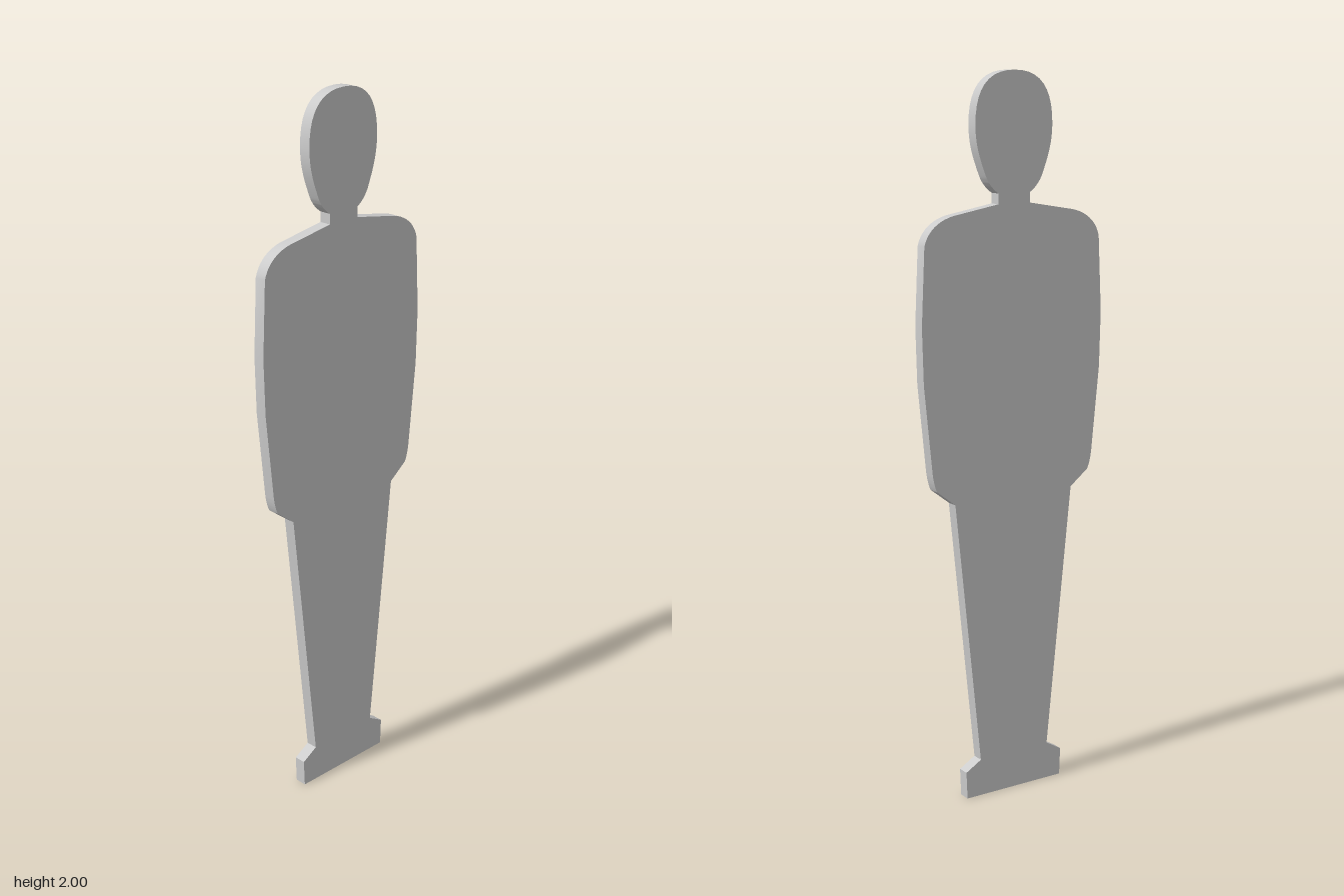
import * as THREE from 'three';
import { toCreasedNormals } from 'three/addons/utils/BufferGeometryUtils.js';

const DEPTH = 0.034;

// Half of the standing silhouette, from the sole up to the crown
function halfOutline() {
  const p = new THREE.Path();
  // shoe
  p.moveTo(0.157, 0);
  p.lineTo(0.16, 0.078);
  p.lineTo(0.112, 0.106);
  // leg
  p.lineTo(0.19, 0.856);
  // hand and arm
  p.lineTo(0.247, 0.9);
  p.quadraticCurveTo(0.256, 0.92, 0.26, 0.95);
  p.lineTo(0.284, 1.19);
  p.lineTo(0.288, 1.345);
  p.lineTo(0.278, 1.555);
  // shoulder
  p.bezierCurveTo(0.268, 1.595, 0.235, 1.62, 0.19, 1.63);
  p.lineTo(0.05, 1.654);
  // neck
  p.lineTo(0.05, 1.682);
  // jaw, cheek and crown
  p.quadraticCurveTo(0.078, 1.7, 0.09, 1.73);
  p.bezierCurveTo(0.108, 1.775, 0.121, 1.81, 0.121, 1.86);
  p.bezierCurveTo(0.121, 1.95, 0.085, 2, 0, 2);
  return p.getPoints(10);
}

export function createModel() {
  const group = new THREE.Group();
  group.name = 'standingFigureCutout';

  // Mirror the half outline across x = 0
  const right = halfOutline();
  const left = right.slice(0, -1).reverse().map((v) => new THREE.Vector2(-v.x, v.y));
  const shape = new THREE.Shape([...right, ...left]);

  // Flat board with smooth rounded edges and crisp corners
  const board = new THREE.ExtrudeGeometry(shape, { depth: DEPTH, bevelEnabled: false });
  board.translate(0, 0, -DEPTH / 2);
  const figure = new THREE.Mesh(
    toCreasedNormals(board, Math.PI / 7),
    new THREE.MeshStandardMaterial({ color: 0xcccccc })
  );
  figure.name = 'figureBoard';
  group.add(figure);
  return group;
}
